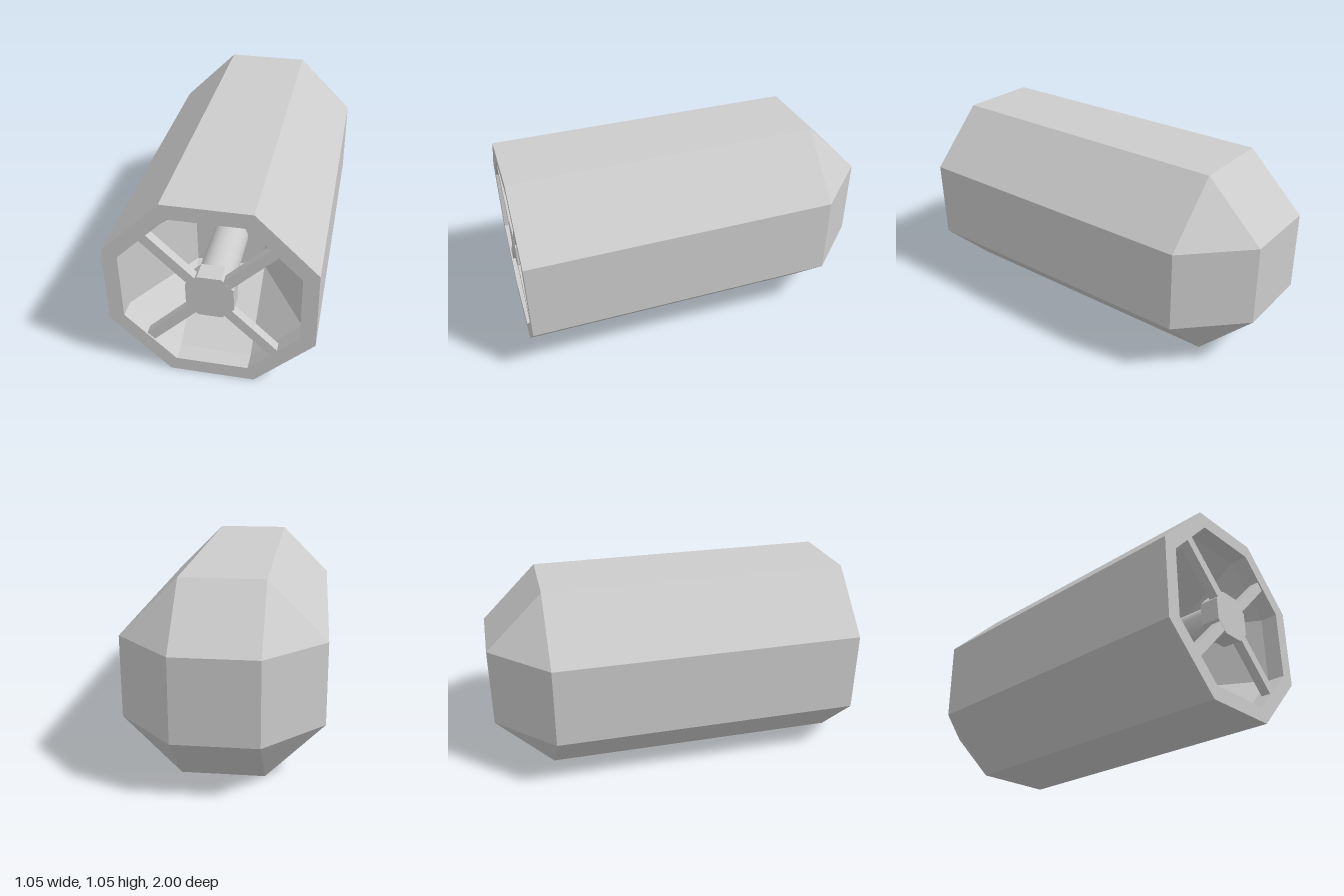
import * as THREE from 'three';

const CENTRE_Y = 0.527;

// Eight-cornered ring: a = half width across flats, c = half length of a flat side.
// With a === c the ring collapses to a square, which gives triangular corner facets.
function ring(a, c, z) {
  return [[a, -c], [a, c], [c, a], [-c, a], [-a, c], [-a, -c], [-c, -a], [c, -a]]
    .map(([x, y]) => new THREE.Vector3(x, y, z));
}

// Faceted skin through successive rings, closed with a flat end on the last ring.
function loft(rings) {
  const pos = [];
  const tri = (a, b, c) => {
    const area = b.clone().sub(a).cross(c.clone().sub(a)).length();
    if (area > 1e-8) for (const p of [a, b, c]) pos.push(p.x, p.y, p.z);
  };
  for (let r = 0; r < rings.length - 1; r++) {
    const A = rings[r], B = rings[r + 1];
    for (let i = 0; i < 8; i++) {
      const j = (i + 1) % 8;
      tri(A[i], B[i], B[j]);
      tri(A[i], B[j], A[j]);
    }
  }
  const end = rings[rings.length - 1];
  for (let i = 1; i < 7; i++) tri(end[0], end[i + 1], end[i]);
  const g = new THREE.BufferGeometry();
  g.setAttribute('position', new THREE.Float32BufferAttribute(pos, 3));
  g.computeVertexNormals();
  return g;
}

export function createModel() {
  const model = new THREE.Group();
  model.name = 'octagonalPod';
  const flat = new THREE.MeshStandardMaterial({ color: 0xcccccc, flatShading: true });
  const smooth = new THREE.MeshStandardMaterial({ color: 0xcccccc });

  const add = (name, geometry, material, z = 0) => {
    const mesh = new THREE.Mesh(geometry, material);
    mesh.name = name;
    mesh.position.set(0, CENTRE_Y, z);
    model.add(mesh);
    return mesh;
  };

  // Long octagonal body with a faceted rear cap
  add('bodyShell', loft([
    ring(0.527, 0.22, 1), ring(0.527, 0.22, -0.69), ring(0.22, 0.22, -1),
  ]), flat);

  // Front rim with its opening
  const rimShape = new THREE.Shape(ring(0.527, 0.22, 0).map(p => new THREE.Vector2(p.x, p.y)));
  rimShape.holes.push(new THREE.Path(ring(0.448, 0.188, 0).reverse().map(p => new THREE.Vector2(p.x, p.y))));
  add('frontRim', new THREE.ShapeGeometry(rimShape), flat, 1);

  // Recess behind the rim: short straight wall, then facets narrowing to a square floor
  const recess = loft([
    ring(0.448, 0.188, 1), ring(0.448, 0.188, 0.907), ring(0.188, 0.188, 0.49),
  ]);
  const inside = flat.clone();
  inside.side = THREE.BackSide;
  add('frontRecess', recess, inside);

  // Hub with clipped corners, carried on a round shaft
  const hubShape = new THREE.Shape(ring(0.12, 0.06, 0).map(p => new THREE.Vector2(p.x, p.y)));
  add('hub', new THREE.ExtrudeGeometry(hubShape, { depth: 0.1, bevelEnabled: false }), flat, 0.893);
  const shaft = new THREE.CylinderGeometry(0.095, 0.095, 0.42, 32).rotateX(Math.PI / 2);
  add('shaft', shaft, smooth, 0.69);

  // Four diagonal spokes from hub to rim
  for (let i = 0; i < 4; i++) {
    const spoke = new THREE.BoxGeometry(0.34, 0.053, 0.05).translate(0.28, 0, 0);
    add('spoke', spoke, flat, 0.967).rotation.z = Math.PI / 4 + i * Math.PI / 2;
  }
  return model;
}
